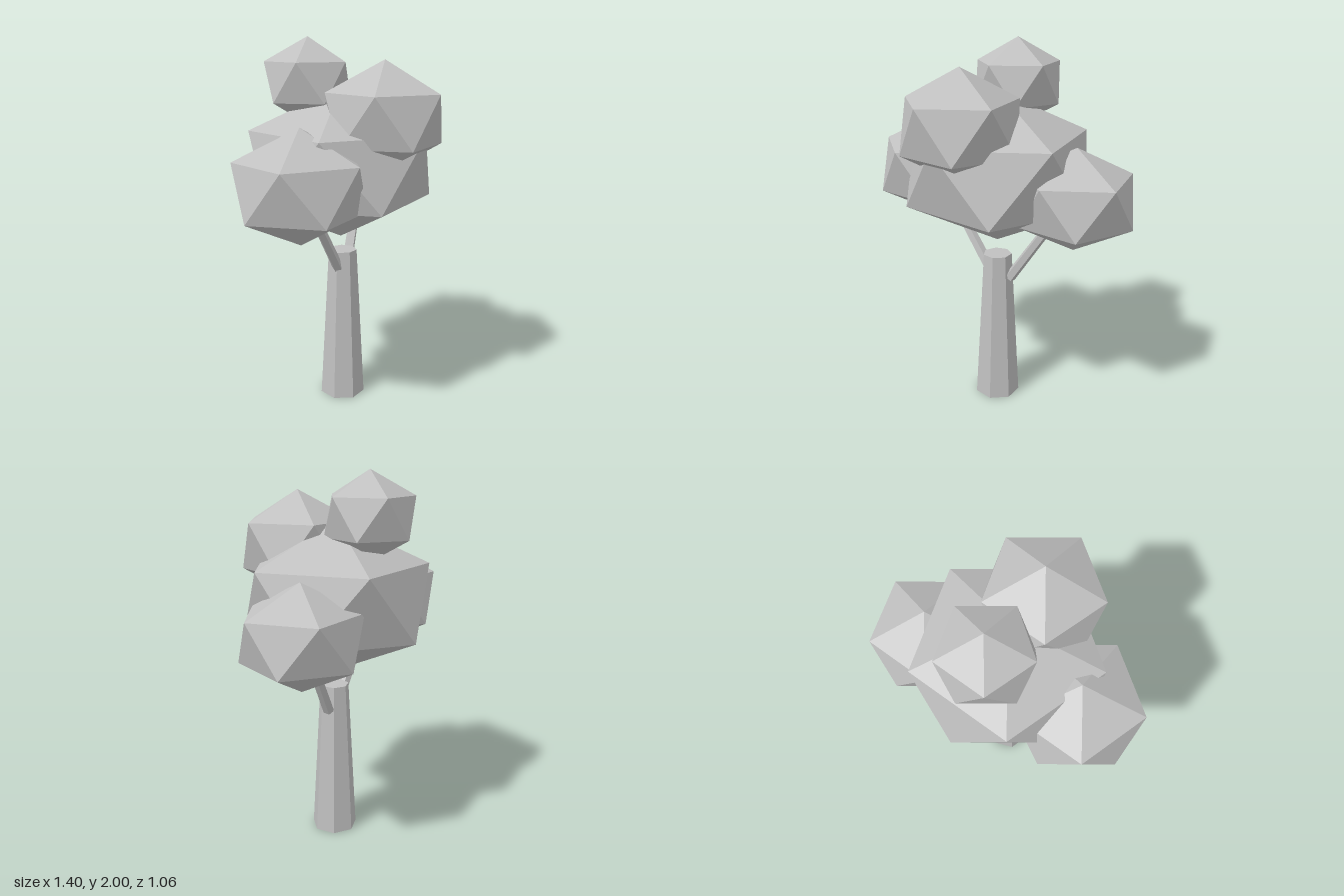
import * as THREE from 'three';

export function createModel() {
  const tree = new THREE.Group();
  tree.name = 'tree';
  const grey = new THREE.MeshStandardMaterial({ color: 0xc0c0c0 });
  grey.name = 'plain grey';
  grey.flatShading = true;

  function add(name, geometry) {
    const mesh = new THREE.Mesh(geometry, grey);
    mesh.name = name;
    tree.add(mesh);
    return mesh;
  }

  // Tapered seven-sided trunk
  const trunk = add('trunk', new THREE.CylinderGeometry(0.079, 0.126, 0.86, 7));
  trunk.position.set(0.028, 0.43, -0.011);
  trunk.rotation.y = -0.21;

  // Thin branches reaching from the trunk into the side clumps
  function branch(name, from, to) {
    const a = new THREE.Vector3(...from);
    const b = new THREE.Vector3(...to);
    const dir = b.clone().sub(a);
    const mesh = add(name, new THREE.CylinderGeometry(0.025, 0.031, dir.length(), 5));
    mesh.position.copy(a).add(b).multiplyScalar(0.5);
    mesh.quaternion.setFromUnitVectors(new THREE.Vector3(0, 1, 0), dir.normalize());
  }
  branch('rightBranch', [-0.02, 0.76, 0.01], [-0.36, 1.25, 0.14]);
  branch('leftBranch', [0.095, 0.73, -0.05], [0.36, 1.2, -0.22]);

  // Leaf clumps: icosahedra standing on a corner, slightly flattened
  function clump(name, x, y, z, ringRadius, halfHeight) {
    const geometry = new THREE.IcosahedronGeometry(1, 0);
    geometry.rotateZ(-Math.atan2(2, 1 + Math.sqrt(5)));
    const r = ringRadius / Math.sqrt(0.8);
    geometry.scale(r, halfHeight, r);
    add(name, geometry).position.set(x, y, z);
  }
  clump('centreLeaves', 0.02, 1.343, -0.015, 0.488, 0.405);
  clump('frontLeaves', 0.085, 1.6, 0.24, 0.302, 0.29);
  clump('rightLeaves', -0.373, 1.288, 0.126, 0.331, 0.293);
  clump('leftLeaves', 0.398, 1.23, -0.245, 0.303, 0.271);
  clump('topLeaves', -0.062, 1.77, -0.187, 0.23, 0.23);

  return tree;
}
